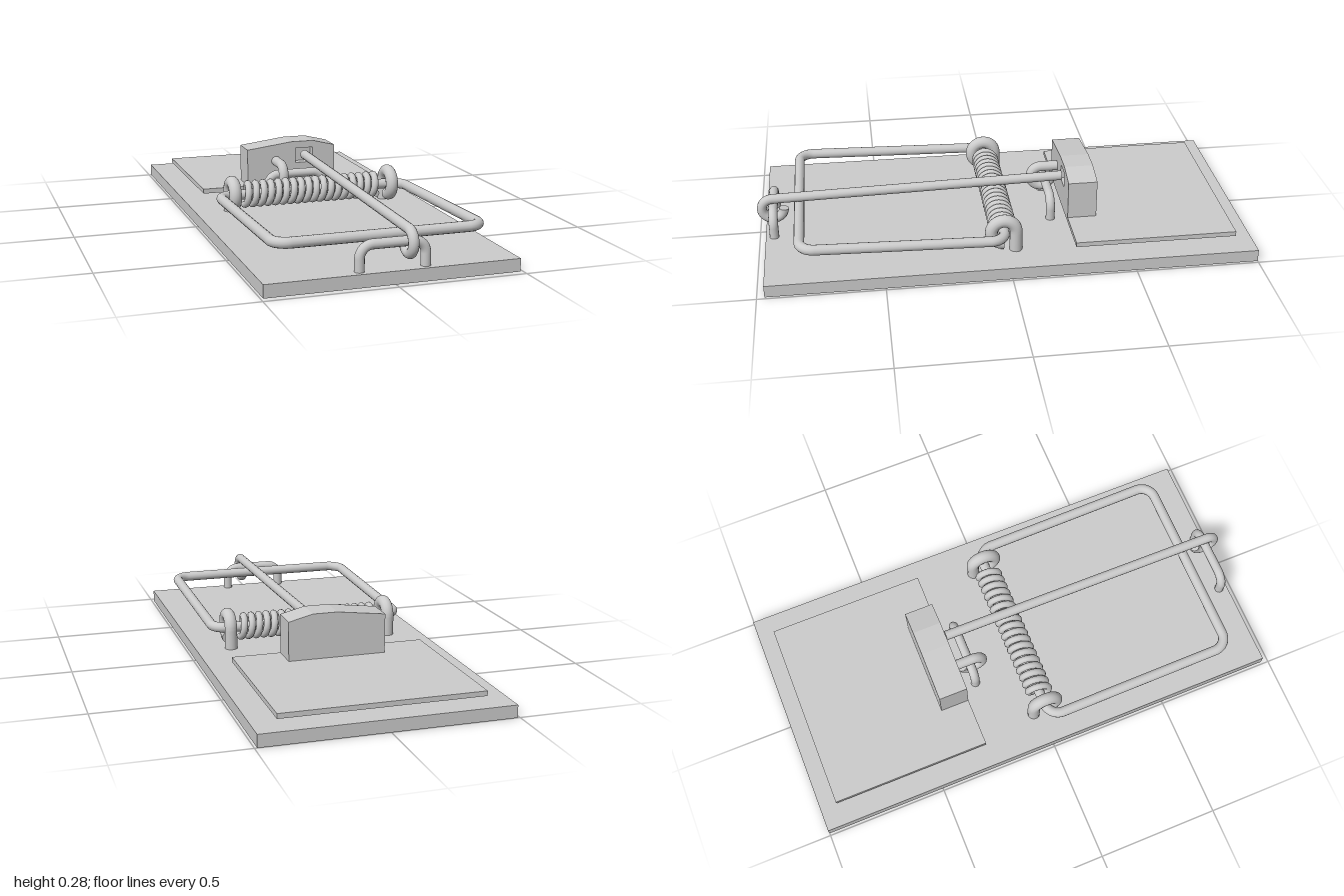
import * as THREE from 'three';
import { mergeGeometries } from 'three/addons/utils/BufferGeometryUtils.js';

const V = (x, y, z) => new THREE.Vector3(x, y, z);

export function createModel() {
  const root = new THREE.Group();
  const mat = new THREE.MeshStandardMaterial({ color: 0xcccccc });

  function add(name, geometry) {
    const mesh = new THREE.Mesh(geometry, mat);
    mesh.name = name;
    root.add(mesh);
    return mesh;
  }

  function box(name, w, h, d, x, y, z) {
    add(name, new THREE.BoxGeometry(w, h, d)).position.set(x, y, z);
  }

  // Round wire along a curve, with flat caps on open ends
  function wire(name, curve, r, segments, closed = false, sides = 14) {
    const parts = [new THREE.TubeGeometry(curve, segments, r, sides, closed)];
    if (!closed) {
      for (const [t, s] of [[0, -1], [1, 1]]) {
        const cap = new THREE.CircleGeometry(r, sides);
        const dir = curve.getTangentAt(t).multiplyScalar(s);
        cap.applyQuaternion(new THREE.Quaternion().setFromUnitVectors(V(0, 0, 1), dir));
        const p = curve.getPointAt(t);
        parts.push(cap.translate(p.x, p.y, p.z));
      }
    }
    return add(name, mergeGeometries(parts));
  }

  // Straight runs joined by rounded corners
  function bentPath(points, radius, closed = false) {
    const path = new THREE.CurvePath();
    const n = points.length;
    const first = closed ? points[0].clone().lerp(points[1], 0.5) : points[0];
    let last = first;
    const line = (p) => { path.add(new THREE.LineCurve3(last, p)); last = p; };
    for (let k = 1; k < (closed ? n + 1 : n - 1); k++) {
      const c = points[k % n], a = points[k - 1], b = points[(k + 1) % n];
      const p = c.clone().add(a.clone().sub(c).setLength(radius));
      const q = c.clone().add(b.clone().sub(c).setLength(radius));
      line(p);
      // Cubic with circular-arc handles
      path.add(new THREE.CubicBezierCurve3(p, p.clone().lerp(c, 0.55), q.clone().lerp(c, 0.55), q));
      last = q;
    }
    line(closed ? first : points[n - 1]);
    return path;
  }

  // Straight run followed by an arc in the y-z plane; angles are from +z towards +y
  function hookPath(x, start, zc, yc, r, a0, a1) {
    const pts = [];
    for (let i = 0; i <= 20; i++) {
      const a = a0 + (a1 - a0) * i / 20;
      pts.push(V(x, yc + r * Math.sin(a), zc + r * Math.cos(a)));
    }
    const path = new THREE.CurvePath();
    path.add(new THREE.LineCurve3(start, pts[0]));
    path.add(new THREE.CatmullRomCurve3(pts));
    return path;
  }

  // Wooden base and bait pedal
  box('base', 0.98, 0.05, 1.97, 0, 0.025, -0.015);
  box('pedalPlate', 0.8, 0.02, 0.66, 0, 0.08, -0.6);

  // Bait block with a recessed catch window in its front
  const outline = () => new THREE.Shape([[-0.2, 0.09], [0.2, 0.09], [0.2, 0.25], [0.1, 0.275], [0, 0.275], [-0.2, 0.25]]
    .map(([x, y]) => new THREE.Vector2(x, y)));
  const front = outline();
  front.holes.push(new THREE.Path([[0.02, 0.18], [0.02, 0.245], [0.1, 0.245], [0.1, 0.18]]
    .map(([x, y]) => new THREE.Vector2(x, y))));
  add('baitBlockFront', new THREE.ExtrudeGeometry(front, { depth: 0.04, bevelEnabled: false })).position.z = -0.31;
  add('baitBlockBack', new THREE.ExtrudeGeometry(outline(), { depth: 0.08, bevelEnabled: false })).position.z = -0.39;

  // Staples that hold the locking bar and the pedal
  for (const [name, z] of [['frontStaple', 0.935], ['pedalStaple', -0.21]]) {
    wire(name, bentPath([V(-0.127, 0.04, z), V(-0.127, 0.147, z), V(0.127, 0.147, z), V(0.127, 0.04, z)], 0.05), 0.019, 90);
  }

  // Locking bar with its end curled round the front staple
  wire('lockingBar', hookPath(0.06, V(0.06, 0.215, -0.265), 0.935, 0.146, 0.045, Math.PI / 2, -Math.PI), 0.02, 160);

  // Pedal hook curled round the pedal staple
  wire('pedalHook', hookPath(-0.07, V(-0.07, 0.193, -0.3), -0.2, 0.148, 0.045, Math.PI / 2, -Math.PI), 0.021, 60);

  // Eye staples at both ends of the spring
  for (const [name, x] of [['leftEyeStaple', 0.345], ['rightEyeStaple', -0.345]]) {
    wire(name, hookPath(x, V(x, 0.04, -0.032), 0.017, 0.132, 0.05, Math.PI, -Math.PI / 2), 0.026, 60);
  }

  // Striker frame, whose rear bar passes through the spring
  wire('strikerFrame', bentPath([
    V(-0.405, 0.126, 0.015), V(0.405, 0.126, 0.015), V(0.405, 0.147, 0.828), V(-0.405, 0.147, 0.828),
  ], 0.06, true), 0.021, 400, true);

  // Coil spring
  class Helix extends THREE.Curve {
    getPoint(t, target = V(0, 0, 0)) {
      const a = t * 18 * 2 * Math.PI - Math.PI / 2;
      return target.set(-0.295 + 0.59 * t, 0.127 + 0.043 * Math.sin(a), 0.015 + 0.043 * Math.cos(a));
    }
  }
  wire('spring', new Helix(), 0.0145, 432, false, 10);

  return root;
}
